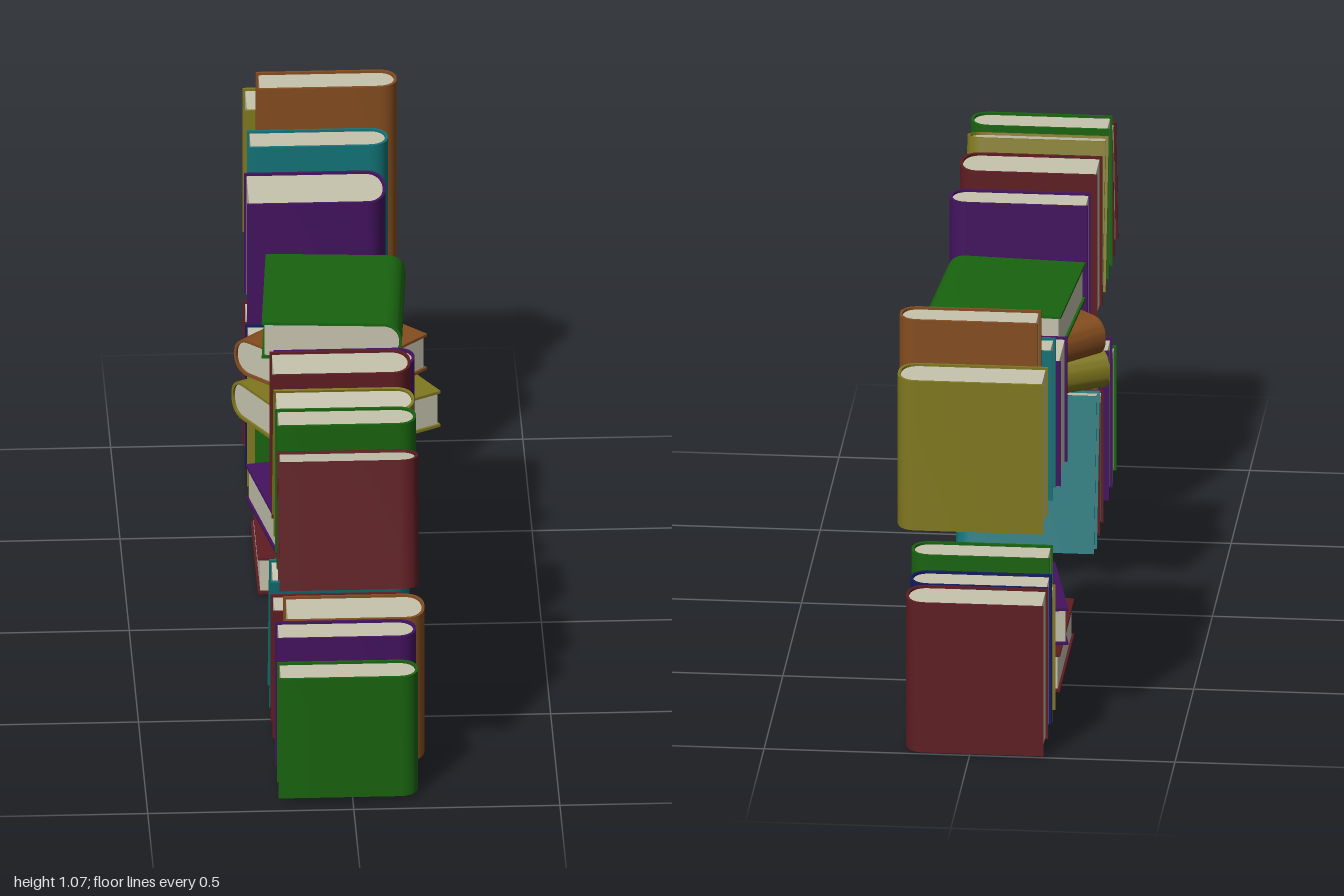
import * as THREE from 'three';
import { toCreasedNormals } from 'three/addons/utils/BufferGeometryUtils.js';

const BOARD = 0.007; // cover thickness
const INSET = 0.006; // how far the pages sit inside the cover edges

const colors = {
  red: 0x5e1d22, green: 0x19640f, olive: 0x80781f, purple: 0x43125f,
  teal: 0x127478, brown: 0x854d1f, navy: 0x14195c, paper: 0xc6c3ae,
};
const mats = {};
for (const k in colors) mats[k] = new THREE.MeshStandardMaterial({ color: colors[k] });

// Points round the spine end, from the lower face to the upper face
function spineArc(xEnd, half, depth) {
  const pts = [], n = 16, e = 2 / 2.3;
  for (let i = 0; i <= n; i++) {
    const a = -Math.PI / 2 + (Math.PI * i) / n;
    const c = Math.max(0, Math.cos(a)), s = Math.sin(a);
    pts.push(new THREE.Vector2(
      xEnd - depth + depth * Math.pow(c, e),
      half * Math.sign(s) * Math.pow(Math.abs(s), e)));
  }
  return pts;
}

function extrude(points, length) {
  const geo = new THREE.ExtrudeGeometry(new THREE.Shape(points), { depth: length, bevelEnabled: false });
  geo.translate(0, 0, -length / 2);
  return toCreasedNormals(geo, 0.6);
}

// A lying book centred on the origin: width in x (spine at +x), thickness in y, height in z
function makeBook(color, w, t, h) {
  const V = (x, y) => new THREE.Vector2(x, y);
  const x0 = -w / 2, x1 = w / 2, half = t / 2, inner = half - BOARD;
  const outerArc = spineArc(x1, half, 0.048);
  const innerArc = spineArc(x1 - BOARD, inner, 0.042);

  const book = new THREE.Group();
  // Cover: two boards joined by the rounded spine
  const cover = new THREE.Mesh(extrude([
    V(x0, -half), ...outerArc, V(x0, half),
    V(x0, inner), ...innerArc.slice().reverse(), V(x0, -inner),
  ], h), mats[color]);
  cover.name = 'cover';
  // Page block
  const pages = new THREE.Mesh(extrude([
    V(x0 + INSET, -inner), ...innerArc, V(x0 + INSET, inner),
  ], h - 2 * INSET), mats.paper);
  pages.name = 'pages';
  book.add(cover, pages);
  return book;
}

// Standing book; z is the centre of its foot, lean in degrees towards +z
function standing(color, y, z, t, h, { x = -0.01, w = 0.34, lean = 0 } = {}) {
  const a = THREE.MathUtils.degToRad(lean);
  const book = makeBook(color, w, t, h);
  book.rotation.x = -Math.PI / 2 + a;
  book.position.set(x, y + (h / 2) * Math.cos(a), z + (h / 2) * Math.sin(a));
  book.name = lean ? 'leaningBook' : 'standingBook';
  return book;
}

// Lying book, turned about the vertical by the given degrees
function lying(color, x, y, z, t, h, turn) {
  const book = makeBook(color, 0.34, t, h);
  book.rotation.y = THREE.MathUtils.degToRad(turn);
  book.position.set(x, y + t / 2, z);
  book.name = 'lyingBook';
  return book;
}

function row(name, books) {
  const g = new THREE.Group();
  g.name = name;
  g.add(...books);
  return g;
}

export function createModel() {
  const model = new THREE.Group();
  model.name = 'shelfBooks';
  const up = 0.58, low = 0.005;

  model.add(row('upperFrontRow', [
    standing('red', 0.587, 0.952, 0.096, 0.325, { lean: -9.5 }),
    standing('green', up, 0.802, 0.097, 0.387),
    standing('olive', 0.589, 0.622, 0.092, 0.382, { lean: 12.2 }),
    standing('red', up, 0.506, 0.132, 0.387),
    standing('purple', up, 0.391, 0.097, 0.342, { x: 0.005 }),
  ]));

  model.add(row('upperStack', [
    lying('olive', 0, up, 0.038, 0.097, 0.385, 120),
    lying('brown', -0.01, 0.678, -0.033, 0.097, 0.322, 135),
    lying('green', 0, 0.776, -0.083, 0.097, 0.375, -4),
  ]));

  model.add(row('upperRearRow', [
    standing('purple', up, -0.58, 0.175, 0.322, { x: -0.022 }),
    standing('teal', up, -0.72, 0.097, 0.387),
    standing('brown', up, -0.82, 0.096, 0.495, { x: 0.016 }),
    standing('olive', up, -0.937, 0.126, 0.387, { x: 0, w: 0.36 }),
  ]));

  model.add(row('lowerFrontRow', [
    standing('green', 0.011, 0.904, 0.096, 0.322),
    standing('purple', low, 0.802, 0.097, 0.387),
    standing('brown', low, 0.683, 0.134, 0.387, { x: 0.016 }),
    standing('red', low, 0.562, 0.096, 0.342),
    standing('teal', 0.011, 0.39, 0.092, 0.387, { lean: 12.1 }),
  ]));

  model.add(row('lowerStack', [
    lying('red', -0.01, low, -0.368, 0.098, 0.385, 0),
    lying('purple', 0.003, 0.104, -0.37, 0.095, 0.322, 11),
  ]));

  model.add(row('lowerRearRow', [
    standing('green', low, -0.624, 0.098, 0.387, { x: 0.005 }),
    standing('olive', low, -0.723, 0.096, 0.323),
    standing('navy', low, -0.822, 0.096, 0.387),
    standing('red', low, -0.937, 0.126, 0.387),
  ]));

  return model;
}
